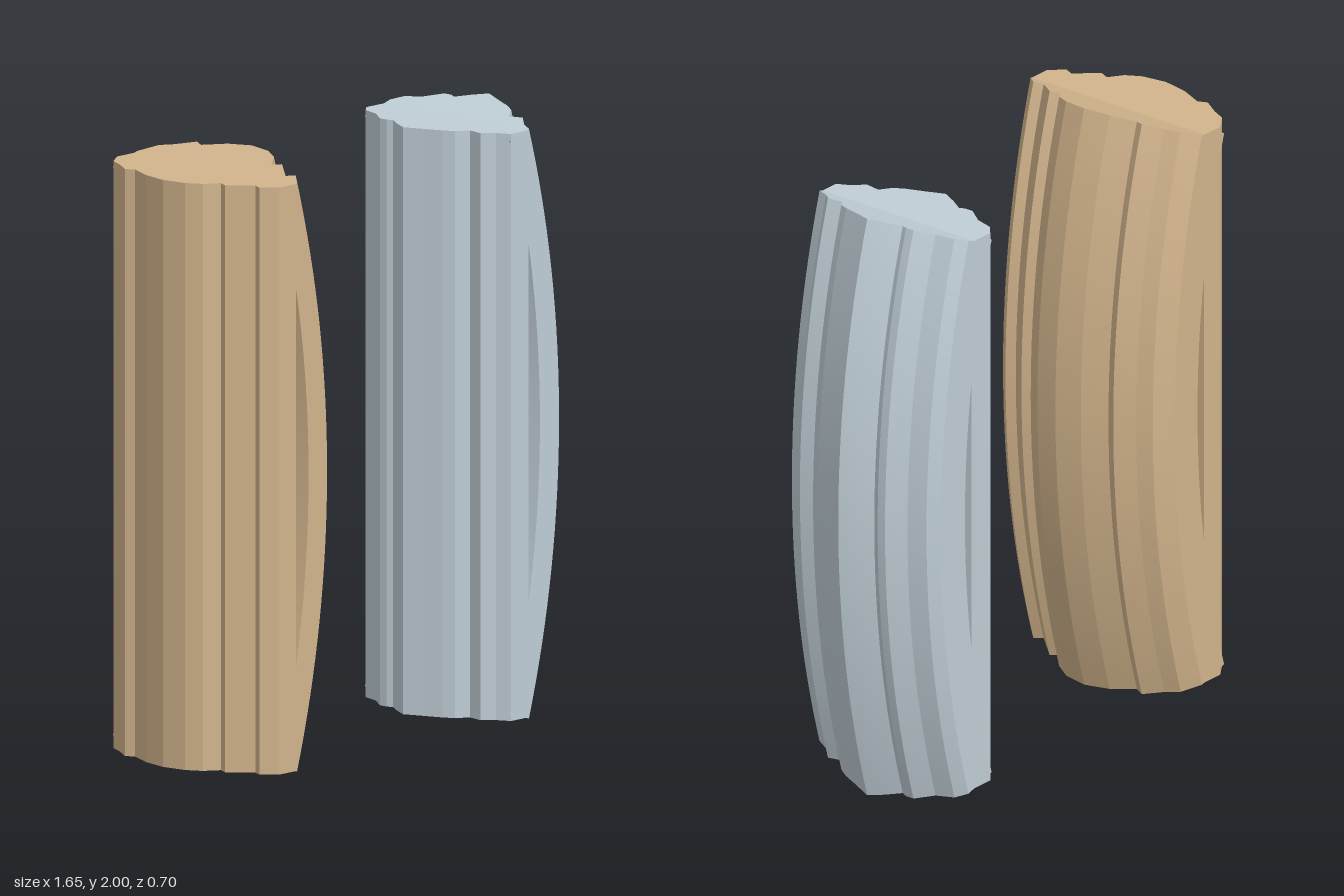
import * as THREE from 'three';
import { toCreasedNormals } from 'three/addons/utils/BufferGeometryUtils.js';

const RADIUS = 3.52;      // bend radius of the outermost curved edge
const END_ANGLE = 0.288;  // half the angle swept by the curved half

// Moulding outlines as [half width, z], from back to front
const TAN_PROFILE = [
  [0.115, -0.355], [0.174, -0.314], [0.197, -0.265], [0.237, -0.204], [0.223, -0.173],
  [0.26, -0.09], [0.277, 0], [0.264, 0.084], [0.235, 0.135], [0.187, 0.168],
  [0.202, 0.2], [0.139, 0.274], [0.153, 0.305], [0.11, 0.35],
];
const GREY_PROFILE = [
  [0.124, -0.31], [0.159, -0.28], [0.177, -0.217], [0.22, -0.16], [0.22, -0.13],
  [0.212, -0.11], [0.243, -0.062], [0.27, -0.01], [0.243, 0.055], [0.22, 0.115],
  [0.2, 0.15], [0.16, 0.177], [0.168, 0.23], [0.133, 0.265], [0.11, 0.31],
];

// Upright prism from an outline of [x, z] points
function prism(points, height, steps) {
  const shape = new THREE.Shape(points.map(([x, z]) => new THREE.Vector2(x, -z)));
  return new THREE.ExtrudeGeometry(shape, { depth: height, steps, bevelEnabled: false })
    .rotateX(-Math.PI / 2);
}

// Bends a prism of height 1 into an arc about an axis along z
function bend(geometry, outerX) {
  const p = geometry.attributes.position;
  const axisX = outerX - RADIUS;
  for (let i = 0; i < p.count; i++) {
    const angle = (p.getY(i) * 2 - 1) * END_ANGLE;
    const r = p.getX(i) - axisX;
    p.setXY(i, axisX + r * Math.cos(angle), 1 + r * Math.sin(angle));
  }
  geometry.computeVertexNormals();
  return toCreasedNormals(geometry, 0.1);
}

function mouldedBar(name, { profile, middle, splitX, gapFront, gapBack }, material) {
  const bar = new THREE.Group();
  bar.name = name;
  const back = profile[0][1];
  const front = profile[profile.length - 1][1];

  // Straight half with a flat inner face
  const straight = prism([
    [splitX, back], ...profile.map(([w, z]) => [middle - w, z]), [splitX, front],
  ], 1.9, 1).translate(0, 0.05, 0);
  const straightHalf = new THREE.Mesh(straight, material);
  straightHalf.name = 'straightHalf';

  // Bowed half, bedded into the straight one and leaving a slim slot on each side
  const bowed = bend(prism([
    [gapBack, back], ...profile.map(([w, z]) => [middle + w, z]), [gapFront, front],
    [splitX - 0.01, 0],
  ], 1, 32), middle + Math.max(...profile.map(([w]) => w)));
  const bowedHalf = new THREE.Mesh(bowed, material);
  bowedHalf.name = 'bowedHalf';

  bar.add(straightHalf, bowedHalf);
  return bar;
}

export function createModel() {
  const tan = new THREE.MeshStandardMaterial({ color: 0xd2b48c });
  tan.name = 'tan';
  const grey = new THREE.MeshStandardMaterial({ color: 0xc0ced6 });
  grey.name = 'blueGrey';

  const model = new THREE.Group();
  model.name = 'mouldedBars';
  model.add(
    mouldedBar('tanBar', {
      profile: TAN_PROFILE, middle: -0.551, splitX: -0.585, gapFront: -0.526, gapBack: -0.551,
    }, tan),
    mouldedBar('greyBar', {
      profile: GREY_PROFILE, middle: 0.557, splitX: 0.527, gapFront: 0.579, gapBack: 0.56,
    }, grey),
  );
  return model;
}
